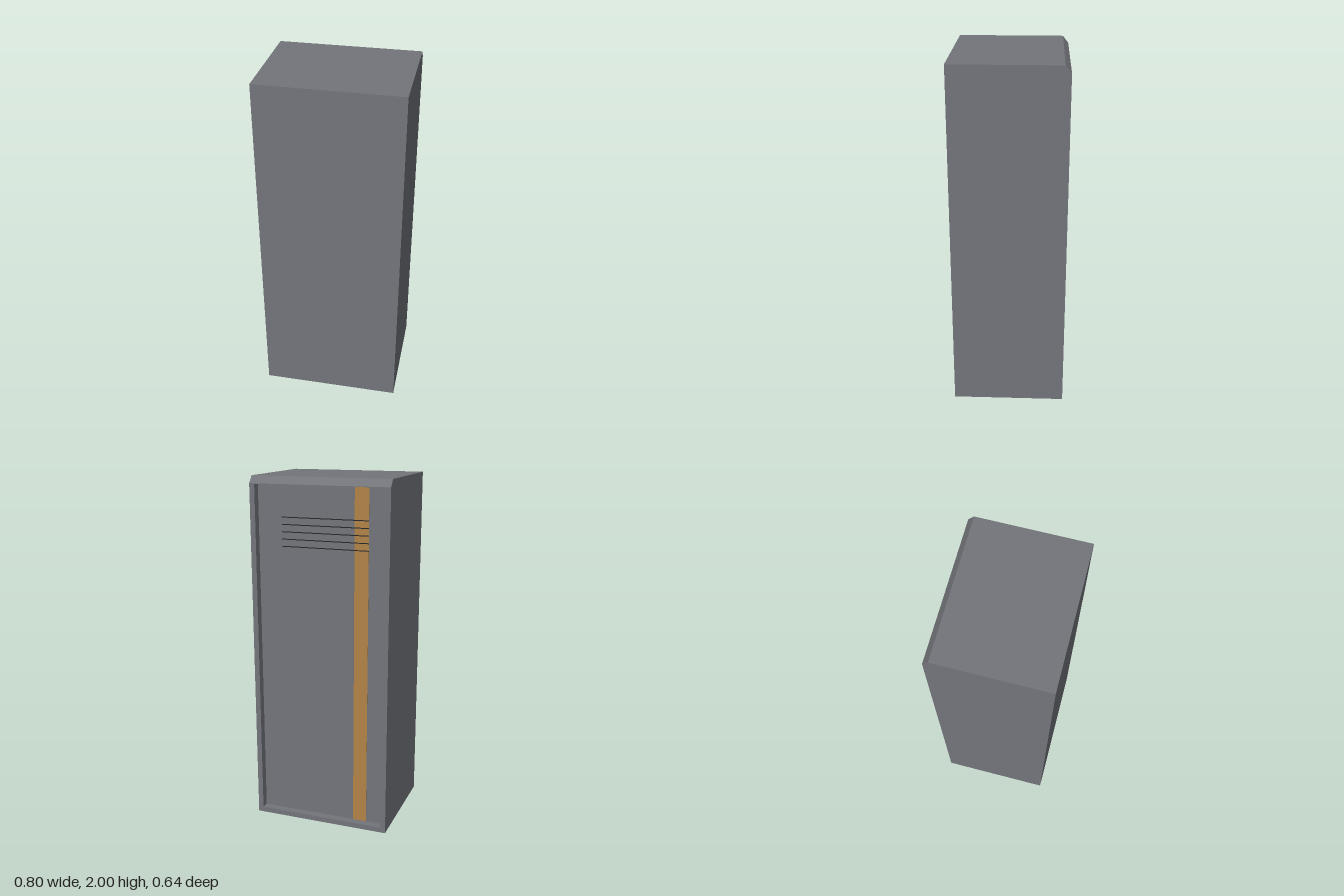
import * as THREE from 'three';

export function createModel() {
  const model = new THREE.Group();
  model.name = 'locker';
  const paint = (name, color) => {
    const m = new THREE.MeshStandardMaterial({ color });
    m.name = name;
    return m;
  };
  const grey = paint('greyMetal', 0x73757b);
  const ochre = paint('ochreStripe', 0xb28448);
  const dark = paint('darkSlot', 0x26272a);

  const W = 0.4, D = 0.32, H = 2;       // half width, half depth, height
  const rim = 0.03, panelZ = -0.275;    // door frame width, recessed door plane
  const openTop = 1.957;

  // Extrudes a side profile of [z, y] points from x0 to x1
  function profile(name, points, x0, x1) {
    const shape = new THREE.Shape(points.map(([z, y]) => new THREE.Vector2(-z, y)));
    const geo = new THREE.ExtrudeGeometry(shape, { depth: x1 - x0, bevelEnabled: false });
    geo.rotateY(Math.PI / 2).translate(x0, 0, 0);
    const mesh = new THREE.Mesh(geo, grey);
    mesh.name = name;
    model.add(mesh);
  }

  // Thin plate lying on the door
  function plate(name, x0, x1, y0, y1, thick, material) {
    const mesh = new THREE.Mesh(new THREE.BoxGeometry(x1 - x0, y1 - y0, thick), material);
    mesh.position.set((x0 + x1) / 2, (y0 + y1) / 2, panelZ - thick / 2);
    mesh.name = name;
    model.add(mesh);
  }

  // Cabinet sides with the bevelled top edge
  const side = [[D, 0], [-D, 0], [-D, 1.96], [-0.288, H], [D, H]];
  profile('leftSide', side, W - rim, W);
  profile('rightSide', side, -W, -W + rim);

  // Cabinet middle, notched to leave the recessed door
  profile('cabinetBody', [
    [D, 0], [-D, 0], [-D, rim], [panelZ, rim], [panelZ, openTop],
    [-D, openTop], [-D, 1.96], [-0.288, H], [D, H],
  ], -W + rim, W - rim);

  // Door stripe and ventilation slots
  plate('doorStripe', -0.27, -0.19, rim, openTop, 0.002, ochre);
  for (let i = 0; i < 5; i++) {
    const y = 1.62 + i * 0.04;
    plate('ventSlot', -0.27, 0.23, y - 0.0025, y + 0.0025, 0.003, dark);
  }

  return model;
}
